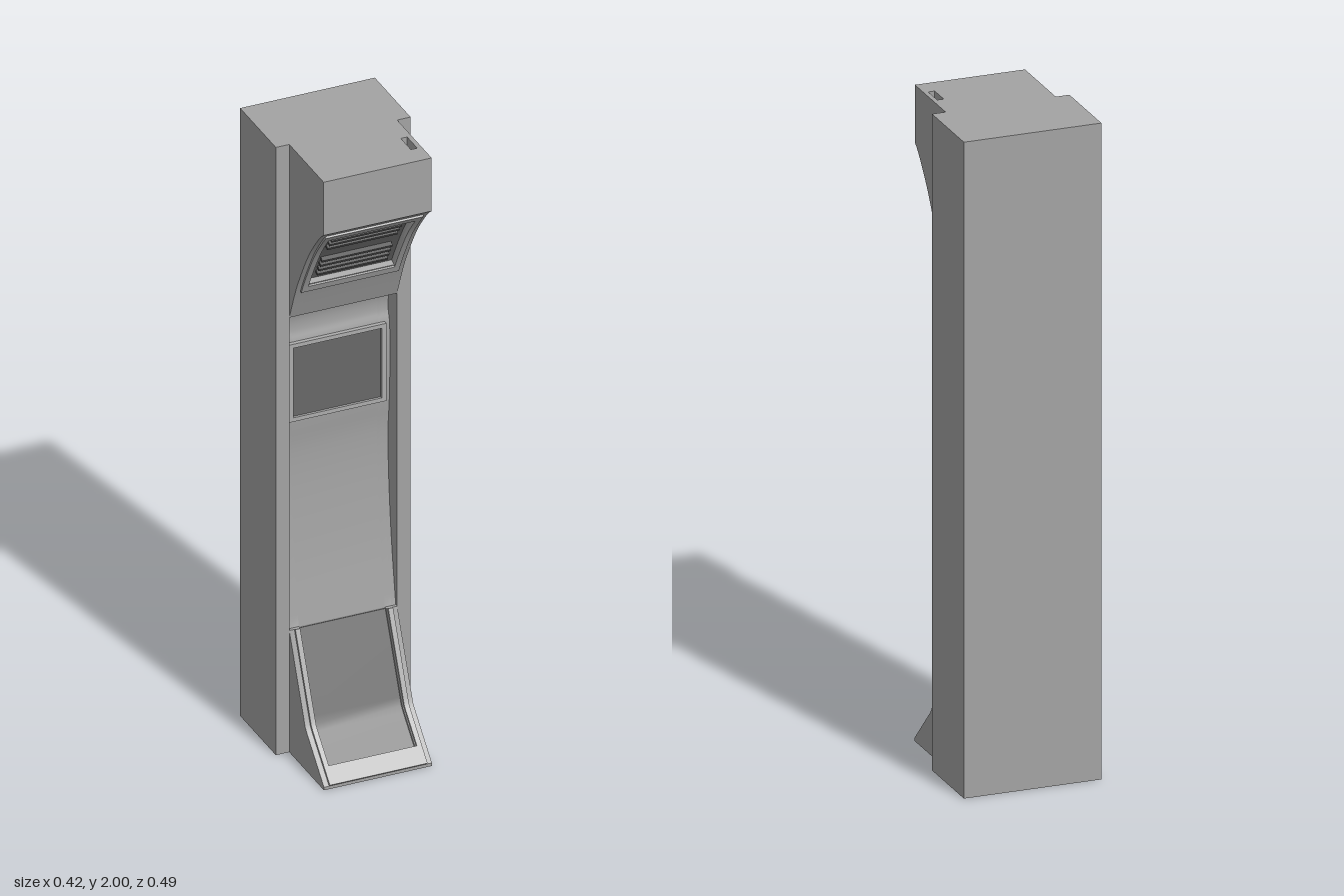
import * as THREE from 'three';
import { toCreasedNormals } from 'three/addons/utils/BufferGeometryUtils.js';

const paint = color => new THREE.MeshStandardMaterial({ color });
const shell = paint(0xa3a3a3);
const trim = paint(0xacacac);
const glass = paint(0x686868);
const dark = paint(0x565656);

// Side curves as [z, y], running upwards
const spline = (pts, n) => new THREE.SplineCurve(pts.map(p => new THREE.Vector2(...p)))
  .getPoints(n).map(p => [p.x, p.y]);
const base = [[0.24, 0.01], [0.122, 0.126], [0.11, 0.14], [0.101, 0.162], [0, 0.4]];
const channel = spline([[-0.01, 0.4], [-0.04, 0.6], [-0.059, 0.8], [-0.063, 0.95], [-0.054, 1.06],
  [-0.05, 1.19], [-0.052, 1.3], [-0.062, 1.345], [-0.061, 1.385], [-0.048, 1.43]], 36);
const hood = spline([[0, 1.43], [0.04, 1.53], [0.074, 1.6], [0.138, 1.71], [0.205, 1.795], [0.238, 1.825]], 20);

function zAt(curve, y) {
  for (let i = 1; i < curve.length; i++) {
    const [a, b] = [curve[i - 1], curve[i]];
    if (y <= b[1]) return a[0] + (b[0] - a[0]) * (y - a[1]) / (b[1] - a[1]);
  }
  return curve[curve.length - 1][0];
}

const clip = (curve, y0, y1) => [[zAt(curve, y0), y0],
  ...curve.filter(p => p[1] > y0 + 1e-4 && p[1] < y1 - 1e-4), [zAt(curve, y1), y1]];

// Shift a side curve along its outward normal
function offset(pts, d) {
  return pts.map((p, i) => {
    const a = pts[Math.max(i - 1, 0)], b = pts[Math.min(i + 1, pts.length - 1)];
    const dz = b[0] - a[0], dy = b[1] - a[1], l = Math.hypot(dz, dy);
    return [p[0] + dy / l * d, p[1] - dz / l * d];
  });
}

// Extrude a side outline from x0 to x1
function slab(name, material, outline, x0, x1) {
  const shape = new THREE.Shape(outline.map(([z, y]) => new THREE.Vector2(-z, y)));
  const geo = new THREE.ExtrudeGeometry(shape, { depth: x1 - x0, bevelEnabled: false });
  geo.rotateY(Math.PI / 2).translate(x0, 0, 0);
  const mesh = new THREE.Mesh(toCreasedNormals(geo, 0.35), material);
  mesh.name = name;
  return mesh;
}

// Strip of even thickness that follows a side curve
const strip = (name, material, curve, x0, x1, low, high) =>
  slab(name, material, [...offset(curve, high), ...offset(curve, low).reverse()], x0, x1);

function box(name, material, w, h, d, x, y, z) {
  const mesh = new THREE.Mesh(new THREE.BoxGeometry(w, h, d), material);
  mesh.position.set(x, y, z);
  mesh.name = name;
  return mesh;
}

// Whole side outline, optionally with panel recesses or the slot in the top
function profile({ recessed = false, slot = false } = {}) {
  const lower = recessed
    ? [...clip(base, 0.01, 0.05), ...offset(clip(base, 0.05, 0.4), -0.012)] : base;
  const upper = recessed
    ? [...clip(hood, 1.43, 1.56), ...offset(clip(hood, 1.56, 1.79), -0.022), ...clip(hood, 1.79, 1.825)] : hood;
  const top = slot ? [[0.17, 2], [0.17, 1.97], [0.1, 1.97], [0.1, 2]] : [];
  return [[-0.247, 0], [0.24, 0], ...lower, ...channel, ...upper, [0.238, 2], ...top, [-0.247, 2]];
}

// Pair of mirrored strips along a side curve
function rails(name, curve, inner, outer, height) {
  const g = new THREE.Group();
  g.name = name;
  g.add(strip('rightRail', trim, curve, -outer, -inner, -0.005, height));
  g.add(strip('leftRail', trim, curve, inner, outer, -0.005, height));
  return g;
}

// Raised four-sided frame on a side curve
function frame(name, curve, y0, y1, outer, inner, bar, height) {
  const g = rails(name, clip(curve, y0, y1), inner, outer, height);
  g.add(strip('frameBottom', trim, clip(curve, y0, y0 + bar), -inner, inner, -0.005, height));
  g.add(strip('frameTop', trim, clip(curve, y1 - bar, y1), -inner, inner, -0.005, height));
  return g;
}

export function createModel() {
  const model = new THREE.Group();
  model.name = 'kioskTower';

  // Central column with hood, channel and sloped base
  model.add(
    slab('columnRight', shell, profile(), -0.169, -0.135),
    slab('columnMiddle', shell, profile({ recessed: true }), -0.135, 0.135),
    slab('columnSlot', shell, profile({ slot: true }), 0.135, 0.155),
    slab('columnLeft', shell, profile(), 0.155, 0.169));

  // Outer side walls
  for (const s of [-1, 1]) model.add(box('sideWall', shell, 0.042, 2, 0.247, s * 0.19, 1, -0.1235));

  // Grille under the hood
  model.add(frame('grilleFrame', hood, 1.535, 1.805, 0.153, 0.135, 0.022, 0.006));
  model.add(strip('grillePanel', glass, clip(hood, 1.56, 1.785), -0.135, 0.135, -0.024, -0.018));
  for (const start of [1.59, 1.71]) {
    for (let i = 0; i < 4; i++) {
      const y = start + i * 0.02;
      const slat = box('grilleSlat', dark, 0.22, 0.009, 0.022, 0, y + 0.006, zAt(hood, y) - 0.014);
      slat.rotation.x = 0.5;
      model.add(slat);
    }
  }

  // Flat screen in the channel
  const flat = [[-0.046, 1.06], [-0.046, 1.315]];
  model.add(strip('screen', glass, clip(flat, 1.065, 1.31), -0.14, 0.14, -0.015, 0));
  model.add(frame('screenFrame', flat, 1.06, 1.315, 0.153, 0.138, 0.013, 0.008));

  // Bent base panel with its rails and lower bar
  model.add(strip('basePanel', glass, clip(base, 0.05, 0.4), -0.135, 0.135, -0.014, -0.008));
  model.add(rails('baseRails', base, 0.138, 0.153, 0.008));
  model.add(strip('baseBar', trim, clip(base, 0.01, 0.05), -0.138, 0.138, -0.005, 0.008));
  return model;
}
